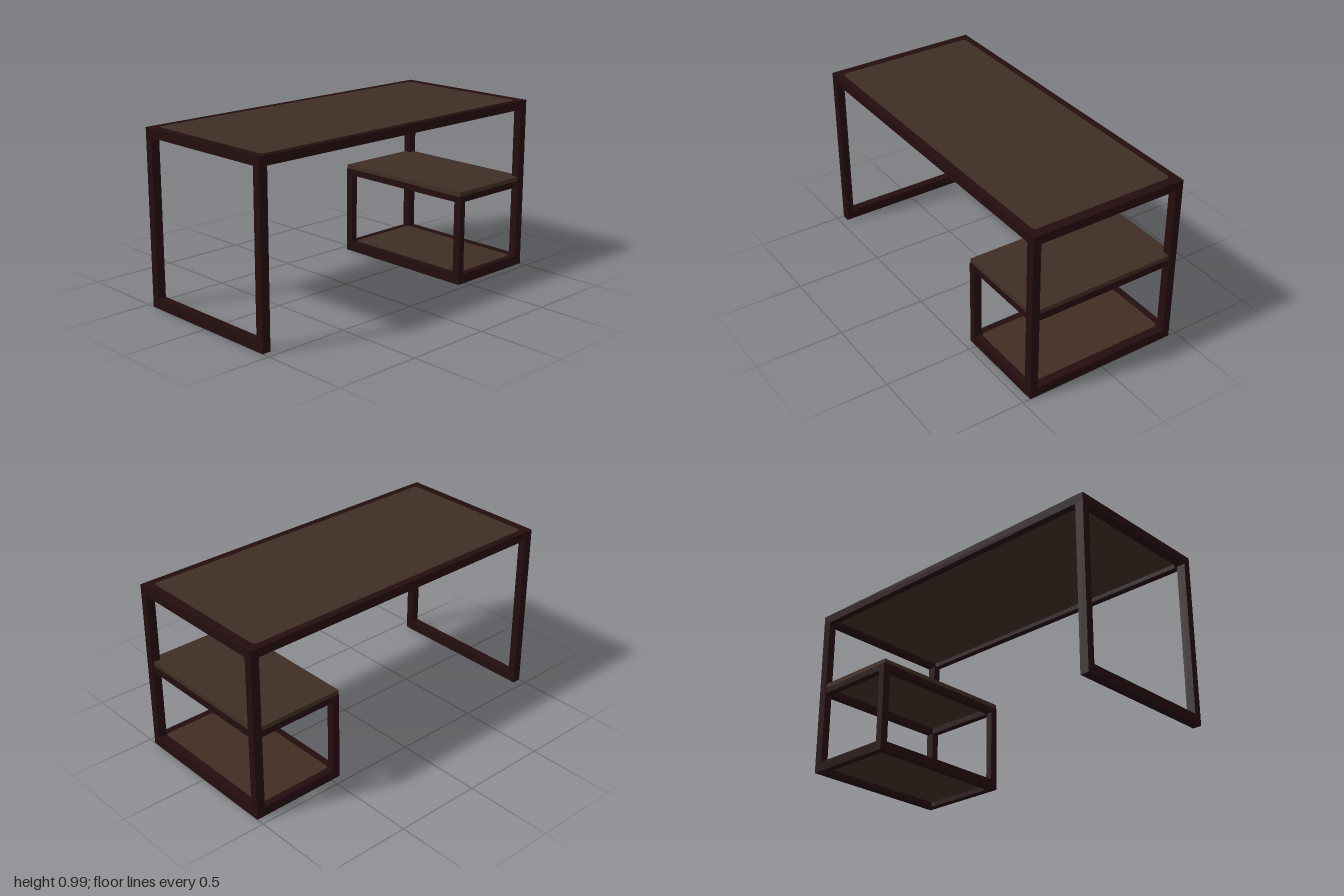
import * as THREE from 'three';

const frameMat = new THREE.MeshStandardMaterial({ color: 0x240d0e });
frameMat.name = 'dark frame';
const boardMat = new THREE.MeshStandardMaterial({ color: 0x402d24 });
boardMat.name = 'brown board';

const H = 0.99, D = 0.455, BAR = 0.05, POST = 0.045;

// Box given by its minimum and maximum on each axis
function box(name, mat, [x0, x1], [y0, y1], [z0, z1]) {
  const mesh = new THREE.Mesh(new THREE.BoxGeometry(x1 - x0, y1 - y0, z1 - z0), mat);
  mesh.position.set((x0 + x1) / 2, (y0 + y1) / 2, (z0 + z1) / 2);
  mesh.name = name;
  return mesh;
}

// Rounded rectangle traced into a Shape or Path
function roundRect(path, x0, x1, d, r) {
  path.moveTo(x0 + r, -d);
  path.lineTo(x1 - r, -d);
  path.absarc(x1 - r, -d + r, r, -Math.PI / 2, 0);
  path.lineTo(x1, d - r);
  path.absarc(x1 - r, d - r, r, 0, Math.PI / 2);
  path.lineTo(x0 + r, d);
  path.absarc(x0 + r, d - r, r, Math.PI / 2, Math.PI);
  path.lineTo(x0, -d + r);
  path.absarc(x0 + r, -d + r, r, Math.PI, Math.PI * 1.5);
  return path;
}

// Horizontal slab made from a shape, lying between y0 and y1
function slab(name, mat, shape, y0, y1) {
  const geo = new THREE.ExtrudeGeometry(shape, { depth: y1 - y0, bevelEnabled: false, curveSegments: 5 });
  geo.rotateX(-Math.PI / 2);
  geo.translate(0, y0, 0);
  const mesh = new THREE.Mesh(geo, mat);
  mesh.name = name;
  return mesh;
}

// Frame of bars around a thin inset panel, flush on top
function framedPanel(name, x0, x1, d, y0, y1, edges, thick) {
  const [ex0, ex1, ez] = edges;
  const group = new THREE.Group();
  group.name = name;
  const ring = new THREE.Shape([[x0, -d], [x1, -d], [x1, d], [x0, d]].map(p => new THREE.Vector2(...p)));
  ring.holes.push(roundRect(new THREE.Path(), x0 + ex0, x1 - ex1, d - ez, 0.025));
  const inset = roundRect(new THREE.Shape(), x0 + ex0, x1 - ex1, d - ez, 0.025);
  group.add(slab(name + 'Frame', frameMat, ring, y0, y1));
  group.add(slab(name + 'Panel', boardMat, inset, y1 - thick, y1));
  return group;
}

export function createModel() {
  const desk = new THREE.Group();
  desk.name = 'desk';

  // Desk top and bottom shelf
  desk.add(framedPanel('deskTop', -1, 1, D, 0.94, H, [0.05, 0.055, 0.04], 0.025));
  desk.add(framedPanel('bottomShelf', 0.445, 1, D, 0, 0.055, [0.04, 0.05, 0.04], 0.025));

  // Middle shelf: bar frame with a board laid on it
  const middle = new THREE.Shape([[0.445, -0.45], [0.995, -0.45], [0.995, 0.45], [0.445, 0.45]]
    .map(p => new THREE.Vector2(...p)));
  middle.holes.push(roundRect(new THREE.Path(), 0.485, 0.95, 0.41, 0.01));
  desk.add(slab('middleShelfFrame', frameMat, middle, 0.48, 0.518));
  desk.add(box('middleShelfBoard', boardMat, [0.445, 0.99], [0.515, 0.54], [-0.45, 0.45]));

  // Legs and cabinet posts, front and back
  for (const [s, side] of [[1, 'front'], [-1, 'back']]) {
    const z = s > 0 ? [D - POST, D] : [-D, POST - D];
    desk.add(box(side + 'RightLeg', frameMat, [-1, -1 + BAR], [0, 0.95], z));
    desk.add(box(side + 'LeftLeg', frameMat, [1 - BAR, 1], [0, 0.95], z));
    desk.add(box(side + 'CabinetPost', frameMat, [0.445, 0.485], [0, 0.515], z));
  }

  // Floor bar joining the legs on the open side
  desk.add(box('floorBar', frameMat, [-1, -1 + BAR], [0, 0.055], [-D + 0.01, D - 0.01]));
  return desk;
}
